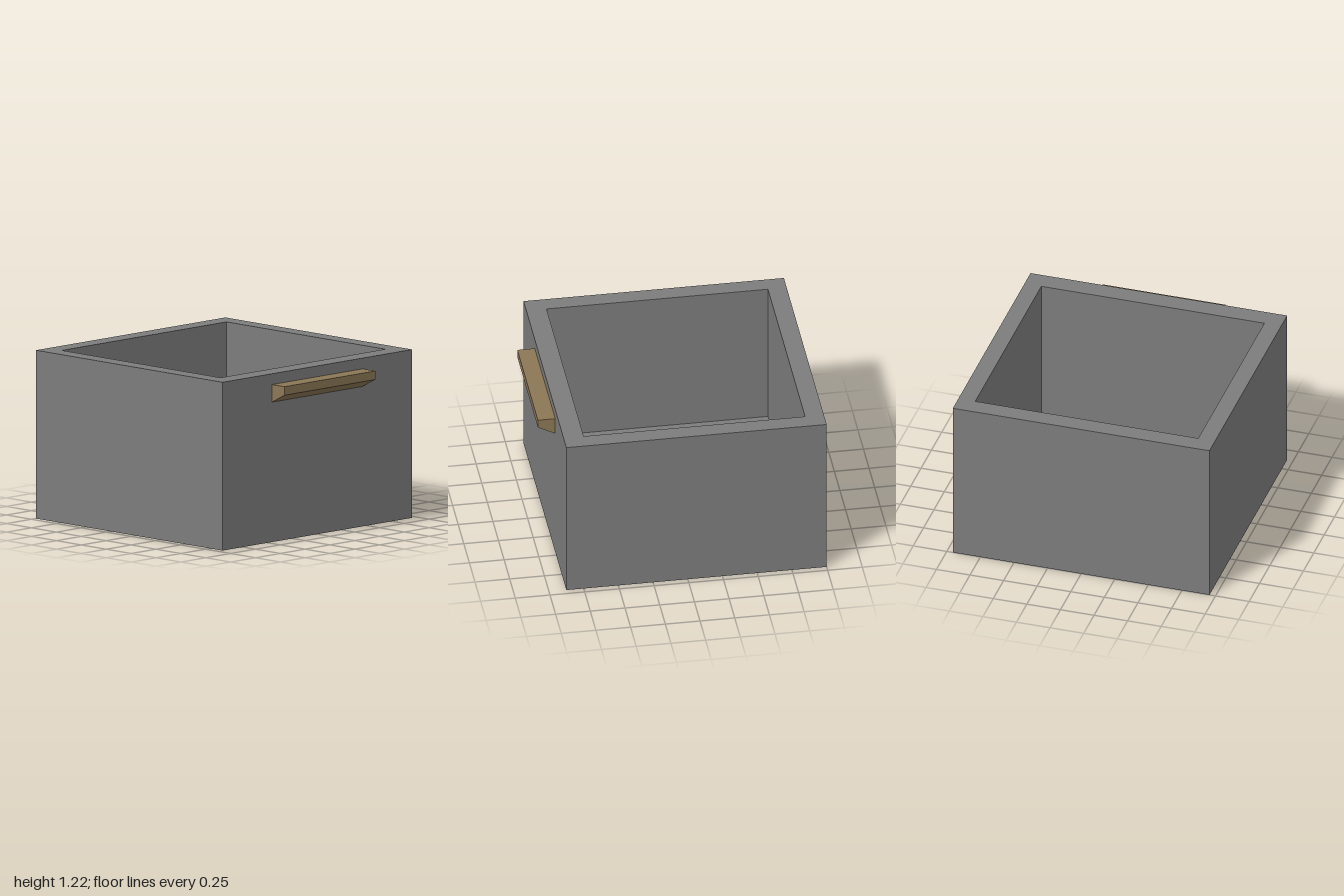
import * as THREE from 'three';

const HEIGHT = 1.215;
const FLOOR = 0.13;
const OUTER = { x: 0.955, back: -1, front: 0.875 };
const INNER = { x: 0.83, back: -0.865, front: 0.73 };

// Plan outline of a rectangle; the shape's y is -z
function outline({ x, back, front }, Type) {
  return new Type([[-x, -front], [x, -front], [x, -back], [-x, -back]]
    .map(([a, b]) => new THREE.Vector2(a, b)));
}

// Raise a plan shape from the ground
function raise(shape, height) {
  return new THREE.ExtrudeGeometry(shape, { depth: height, bevelEnabled: false })
    .rotateX(-Math.PI / 2);
}

export function createModel() {
  const group = new THREE.Group();
  group.name = 'drawer';

  const grey = new THREE.MeshStandardMaterial({ color: 0x7c7c7c });
  grey.name = 'grey body';
  const tan = new THREE.MeshStandardMaterial({ color: 0x8b7756 });
  tan.name = 'tan handle';

  const add = (name, geometry, material) => {
    const mesh = new THREE.Mesh(geometry, material);
    mesh.name = name;
    group.add(mesh);
  };

  // Four walls as one open frame
  const frame = outline(OUTER, THREE.Shape);
  frame.holes.push(outline(INNER, THREE.Path));
  add('walls', raise(frame, HEIGHT), grey);

  // Floor panel set between the walls
  add('floor', raise(outline(INNER, THREE.Shape), FLOOR), grey);

  // Wedge-shaped pull: side profile (z, y) swept along x
  const profile = new THREE.Shape([[0.875, 1.01], [1, 1.075], [1, 1.137], [0.875, 1.137]]
    .map(([z, y]) => new THREE.Vector2(z, y)));
  const width = 0.916;
  const handle = new THREE.ExtrudeGeometry(profile, { depth: width, bevelEnabled: false })
    .rotateY(-Math.PI / 2)
    .translate(width / 2, 0, 0);
  add('handle', handle, tan);

  return group;
}
